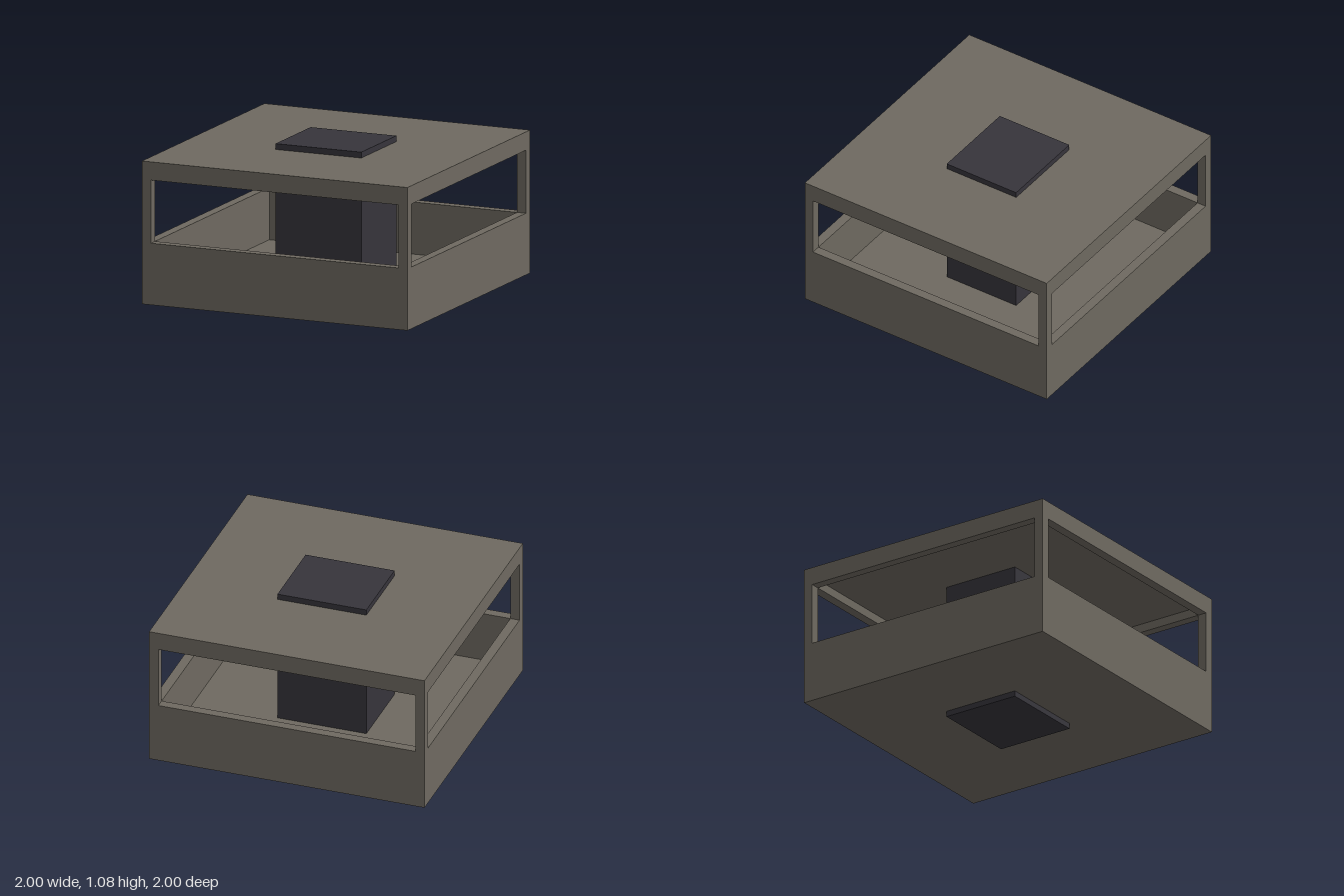
import * as THREE from 'three';

const HALF = 1, WALL = 0.067;            // footprint half size and shell thickness
const BOTTOM = 0.04, SILL = 0.472, LINTEL = 0.914, TOP = 1.042;

export function createModel() {
  const model = new THREE.Group();
  const stone = new THREE.MeshStandardMaterial({ color: 0x6e6960 });
  stone.name = 'warm grey stone';
  const dark = new THREE.MeshStandardMaterial({ color: 0x36343b });
  dark.name = 'dark slate';

  const add = (name, geometry, material, x, y, z) => {
    const mesh = new THREE.Mesh(geometry, material);
    mesh.name = name;
    mesh.position.set(x, y, z);
    model.add(mesh);
  };

  // box given by its footprint and its lower and upper heights
  const block = (name, w, d, y0, y1, material, x = 0, z = 0) =>
    add(name, new THREE.BoxGeometry(w, y1 - y0, d), material, x, (y0 + y1) / 2, z);

  // hollow square band of wall running around all four sides
  const band = (name, y0, y1) => {
    const square = (r) => [[-r, -r], [r, -r], [r, r], [-r, r]].map(([x, y]) => new THREE.Vector2(x, y));
    const shape = new THREE.Shape(square(HALF));
    shape.holes.push(new THREE.Path(square(HALF - WALL).reverse()));
    const geometry = new THREE.ExtrudeGeometry(shape, { depth: y1 - y0, bevelEnabled: false });
    geometry.rotateX(-Math.PI / 2);
    add(name, geometry, stone, 0, y0, 0);
  };

  // floor and roof slabs
  block('floor', 2 * HALF, 2 * HALF, BOTTOM, BOTTOM + WALL, stone);
  block('roof', 2 * HALF, 2 * HALF, TOP - WALL, TOP, stone);

  // walls below and above the window openings
  band('lowerWalls', BOTTOM + WALL, SILL);
  band('upperWalls', LINTEL, TOP - WALL);

  // corner posts between the openings
  for (const sx of [-1, 1]) {
    for (const sz of [-1, 1]) {
      const c = HALF - WALL / 2;
      block('cornerPost', WALL, WALL, SILL, LINTEL, stone, sx * c, sz * c);
    }
  }

  // central core passing through floor and roof
  block('core', 0.646, 0.574, 0, 1.083, dark);

  return model;
}
